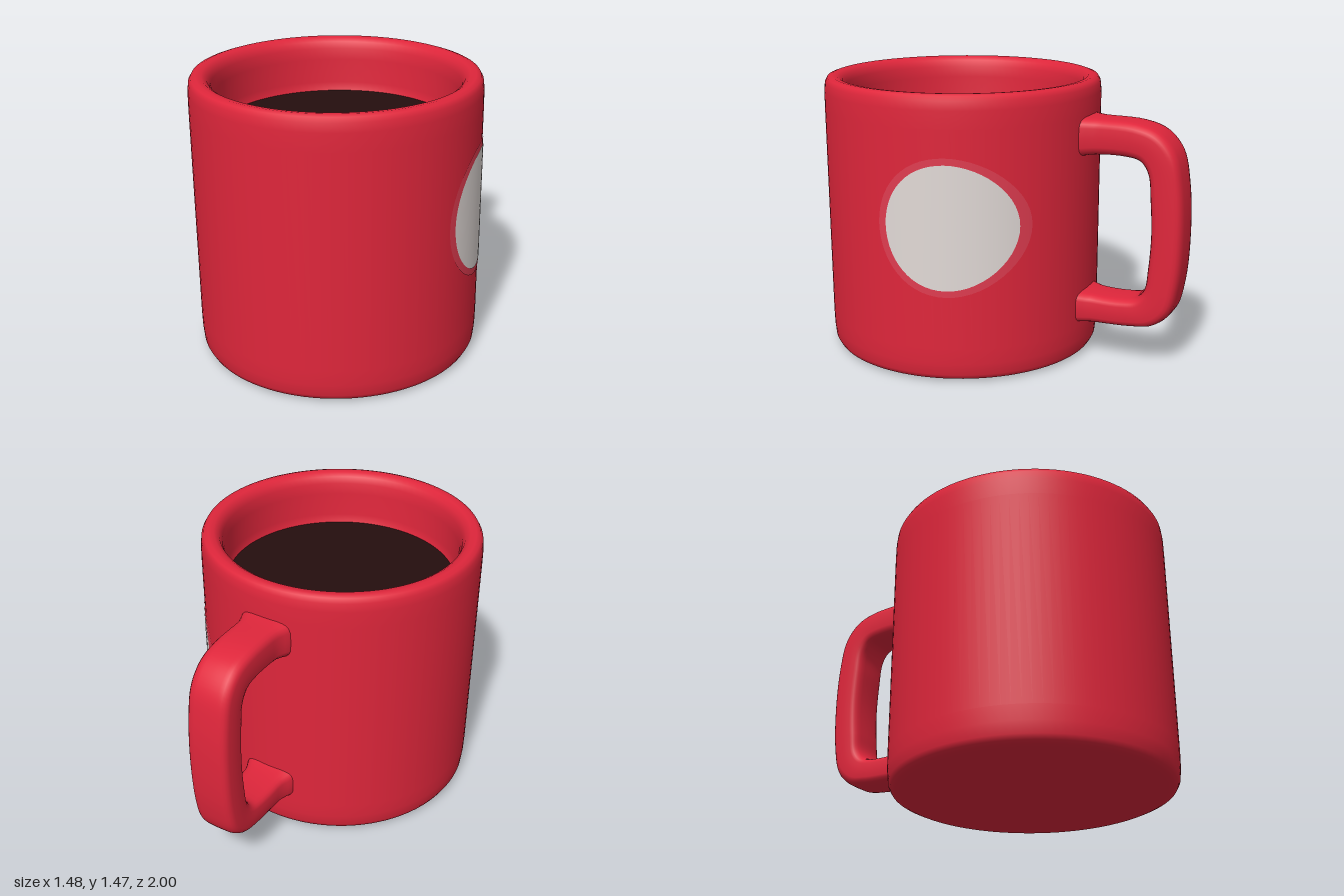
import * as THREE from 'three';

const CUP_Z = 0.265, CUP_R = 0.737;

const mat = (name, color, side = THREE.FrontSide) => {
  const m = new THREE.MeshStandardMaterial({ color, side });
  m.name = name;
  return m;
};

const part = (name, geometry, material) => {
  const m = new THREE.Mesh(geometry, material);
  m.name = name;
  return m;
};

// Flat (z, y) curve through a few points
const curve = pts => new THREE.CatmullRomCurve3(pts.map(([z, y]) => new THREE.Vector3(0, y, z)), false, 'centripetal');

// Loft of rounded-rectangle sections between the outer and inner edge of the grip
function handleGeometry() {
  const outer = curve([[-0.38, 1.31], [-0.49, 1.295], [-0.74, 1.285], [-0.86, 1.245], [-0.945, 1.15], [-0.985, 0.98],
    [-1, 0.72], [-0.985, 0.46], [-0.945, 0.31], [-0.86, 0.235], [-0.74, 0.212], [-0.49, 0.2], [-0.38, 0.19]]);
  const inner = curve([[-0.38, 1.07], [-0.49, 1.1], [-0.69, 1.108], [-0.765, 1.09], [-0.805, 1.03], [-0.82, 0.9],
    [-0.83, 0.72], [-0.82, 0.54], [-0.805, 0.43], [-0.765, 0.378], [-0.69, 0.36], [-0.49, 0.365], [-0.38, 0.4]]);
  const steps = 72, sides = 24, pos = [], idx = [];
  for (let i = 0; i <= steps; i++) {
    const a = outer.getPoint(i / steps), b = inner.getPoint(i / steps);
    const mid = a.clone().add(b).multiplyScalar(0.5), half = a.clone().sub(b).multiplyScalar(0.5);
    // Widen where the grip meets the wall
    const w = 0.117 + 0.03 * THREE.MathUtils.smoothstep(mid.z, -0.54, -0.44);
    for (let j = 0; j < sides; j++) {
      const t = j / sides * Math.PI * 2, c = Math.cos(t), s = Math.sin(t);
      const u = Math.sign(c) * Math.abs(c) ** 0.5, v = Math.sign(s) * Math.abs(s) ** 0.5;
      pos.push(w * v, mid.y + half.y * u, mid.z + half.z * u);
      if (i < steps) {
        const p = i * sides + j, q = i * sides + (j + 1) % sides;
        idx.push(p, p + sides, q, q, p + sides, q + sides);
      }
    }
  }
  const g = new THREE.BufferGeometry();
  g.setAttribute('position', new THREE.Float32BufferAttribute(pos, 3));
  g.setIndex(idx);
  g.computeVertexNormals();
  return g;
}

// Oval ring or disc wrapped onto the +x side of the cup
function wrappedOval(innerRatio, rz, ry, lift) {
  const g = new THREE.RingGeometry(innerRatio, 1, 56, 10), p = g.attributes.position, n = g.attributes.normal;
  const R = CUP_R + lift;
  for (let i = 0; i < p.count; i++) {
    const z = 0.01 - p.getX(i) * rz, y = 0.81 + p.getY(i) * ry, d = z - CUP_Z;
    const x = Math.sqrt(R * R - d * d);
    p.setXYZ(i, x, y, z);
    n.setXYZ(i, x / R, 0, d / R);
  }
  return g;
}

export function createModel() {
  const red = mat('red glaze', 0xdf263b, THREE.DoubleSide);
  const halo = mat('light red border', 0xe03c50);
  const white = mat('off white', 0xe2dad7);
  const coffee = mat('dark coffee', 0x240e0e);

  const group = new THREE.Group();
  group.name = 'mug';

  // Cup wall, rounded foot and rolled rim
  const profile = [[0, 0], [0.66, 0], [0.69, 0.004], [0.716, 0.016], [0.729, 0.04], [0.735, 0.1], [CUP_R, 0.18],
    [CUP_R, 1.3], [0.736, 1.39], [0.731, 1.435], [0.718, 1.458], [0.695, 1.466], [0.665, 1.462], [0.64, 1.445],
    [0.625, 1.41], [0.618, 1.35], [0.616, 1.22], [0.605, 1.17], [0.59, 1.15]];
  const cup = part('cup', new THREE.LatheGeometry(profile.map(([x, y]) => new THREE.Vector2(x, y)), 96), red);
  cup.position.z = CUP_Z;

  // Drink surface
  const drink = part('drink', new THREE.CircleGeometry(0.609, 96).rotateX(-Math.PI / 2), coffee);
  drink.position.set(0, 1.175, CUP_Z);

  group.add(cup, drink,
    part('handle', handleGeometry(), red),
    part('patchBorder', wrappedOval(0.85, 0.347, 0.352, 0.003), halo),
    part('patch', wrappedOval(0, 0.306, 0.318, 0.005), white));
  return group;
}
